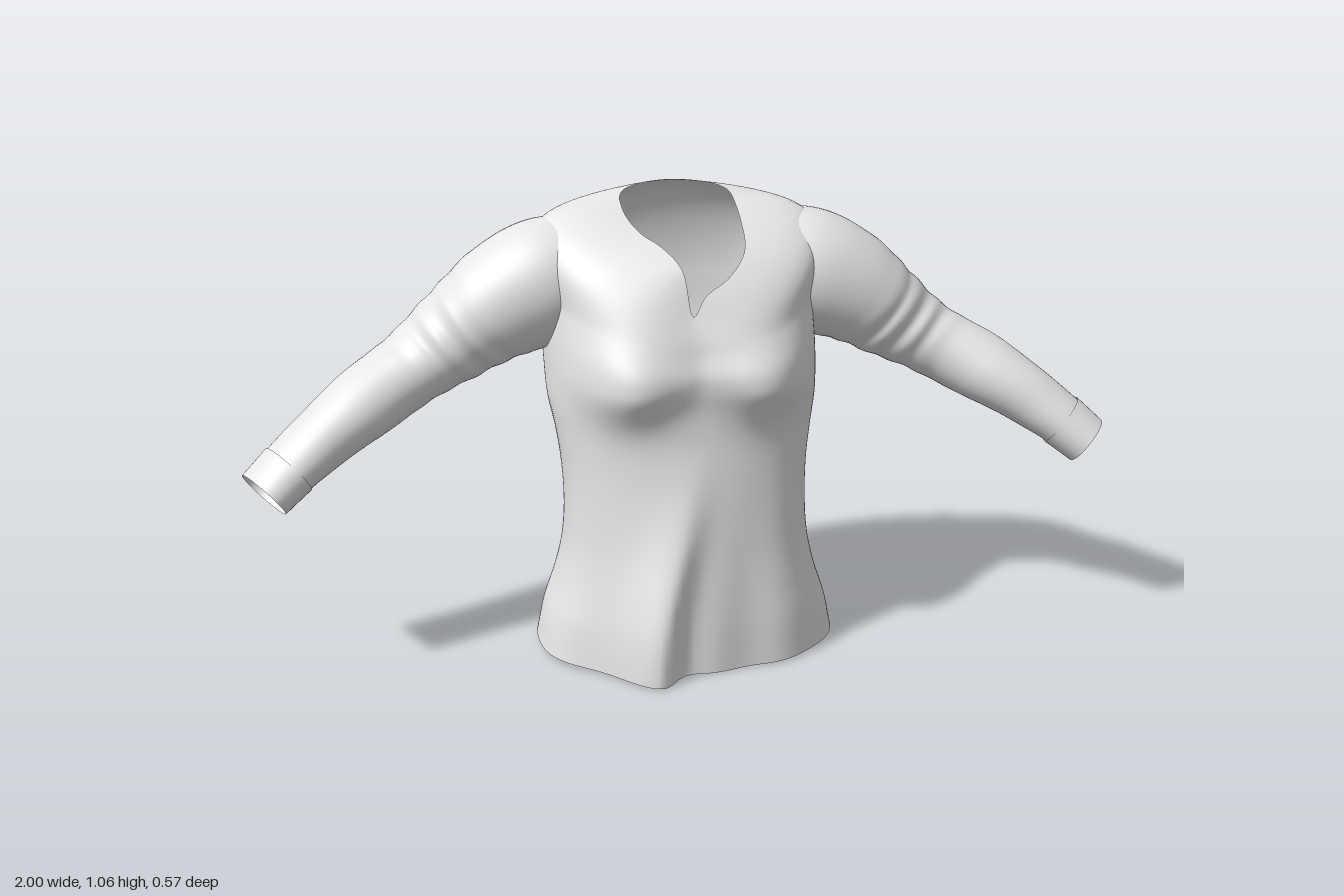
import * as THREE from 'three';

const COLS = 120;
const bump = (d, s) => Math.exp(-(d * d) / (2 * s * s));
const smooth = (v, a, b) => THREE.MathUtils.smoothstep(v, a, b);
const spow = (v, p) => Math.sign(v) * Math.pow(Math.abs(v), p);

// Smooth table lookup: the first column is the parameter, the rest are values
function table(rows) {
  const f = new THREE.CubicInterpolant(rows.map(r => r[0]), rows.flatMap(r => r.slice(1)), rows[0].length - 1);
  return t => Array.from(f.evaluate(t));
}

// Open tube of closed rings; point(i, j) gives each vertex
function loft(name, rows, cols, point, material) {
  const pos = [], index = [];
  for (let i = 0; i < rows; i++) {
    for (let j = 0; j < cols; j++) {
      pos.push(...point(i / (rows - 1), j / cols));
      if (i === rows - 1) continue;
      const a = i * cols + j, b = i * cols + (j + 1) % cols;
      index.push(a, b, b + cols, a, b + cols, a + cols);
    }
  }
  const g = new THREE.BufferGeometry();
  g.setAttribute('position', new THREE.Float32BufferAttribute(pos, 3));
  g.setIndex(index);
  g.computeVertexNormals();
  const mesh = new THREE.Mesh(g, material);
  mesh.name = name;
  return mesh;
}

// Body sections: height, half width, side z, front z, back z
const body = table([
  [0.012, 0.350, -0.01, 0.218, -0.265],
  [0.10, 0.332, -0.01, 0.216, -0.258],
  [0.18, 0.306, -0.01, 0.211, -0.238],
  [0.26, 0.288, -0.01, 0.204, -0.205],
  [0.35, 0.281, -0.01, 0.196, -0.207],
  [0.45, 0.285, -0.02, 0.187, -0.225],
  [0.53, 0.296, -0.03, 0.180, -0.240],
  [0.60, 0.309, -0.05, 0.178, -0.253],
  [0.67, 0.312, -0.07, 0.182, -0.268],
  [0.74, 0.312, -0.09, 0.181, -0.280],
  [0.82, 0.308, -0.10, 0.163, -0.286],
]);

function bodyPoint(h, u) {
  const a = u * Math.PI * 2, s = Math.sin(a), c = Math.cos(a);
  const [w, zs, zf, zb] = body(h);
  const front = Math.max(0, c), rear = Math.max(0, -c);
  const x = w * spow(s, 0.92);
  // the back is flatter and squarer towards the shoulders
  const round = c > 0 ? 0.82 : 0.82 - 0.22 * smooth(h, 0.5, 0.82);
  let z = zs + (c > 0 ? zf - zs : zs - zb) * spow(c, round);
  let y = h - 0.065 * smooth(h, 0.6, 0.82) * front * front;
  // bust: two domes, rounder below
  const dx = Math.abs(x) - 0.165, dy = y - 0.665 - 1.5 * dx * dx;
  z += 0.055 * bump(dx, 0.078) * bump(dy, dy < 0 ? 0.055 : 0.1) * smooth(c, 0, 0.5);
  // large front drape fold and softer folds around the hem
  const fade = 1 - smooth(h, 0.02, 0.55), fx = x + 0.02 + 0.085 * fade;
  z += 0.078 * fade * bump(fx, fx > 0 ? 0.032 : 0.06) * smooth(c, 0.1, 0.5);
  z += 0.006 * fade * Math.sin(x * 34 + 1) * front;
  // broad hollows slanting from the armpits to the back of the waist
  z += 0.018 * rear * bump(Math.abs(x) - 0.1 - (h - 0.22) * 0.6, 0.045) * bump(h - 0.33, 0.09);
  // the hem dips at the front
  const hem = 1 - smooth(h, 0, 0.15);
  y += hem * (0.006 * s * s - 0.012 * front);
  return new THREE.Vector3(x, y, z);
}

// Neckline loop from the slit tip, round the model's left, back and right
const neckline = new THREE.CatmullRomCurve3([
  [-0.01, 0.82, 0.143], [0.02, 0.862, 0.13], [0.075, 0.895, 0.11], [0.122, 0.94, 0.06], [0.135, 0.99, -0.03],
  [0.13, 1.035, -0.10], [0.125, 1.045, -0.125], [0.11, 1.052, -0.15], [0.08, 1.057, -0.173], [0.04, 1.061, -0.188],
  [0, 1.062, -0.195], [-0.04, 1.061, -0.188], [-0.08, 1.057, -0.173], [-0.11, 1.052, -0.15], [-0.125, 1.045, -0.125],
  [-0.13, 1.035, -0.10], [-0.124, 1.008, -0.05], [-0.1, 0.98, 0.005], [-0.062, 0.957, 0.05], [-0.026, 0.915, 0.1],
].map(p => new THREE.Vector3(...p)), true);

// Body up to the chest, then a curved yoke over the shoulders to the neckline
function torsoPoint(v, u) {
  const split = 0.68;
  if (v <= split) return bodyPoint(0.012 + 0.808 * v / split, u);
  const c = Math.cos(u * Math.PI * 2);
  const a = bodyPoint(0.82, u), n = neckline.getPoint(u);
  // leave the chest along its own slope
  const rise = a.clone().sub(bodyPoint(0.81, u)).normalize();
  const start = a.clone().addScaledVector(rise, a.distanceTo(n) * 0.28);
  // reach out over the shoulder before turning in to the neck
  const lift = c > 0 ? 0.97 - 0.35 * c : 0.97 + 0.05 * c;
  const slope = c > 0 ? 0.55 * c : -0.15 * c;
  const over = new THREE.Vector3(a.x * (1.42 - 0.37 * Math.abs(c)), a.y + (n.y - a.y) * lift, a.z + (n.z - a.z) * slope);
  return new THREE.CubicBezierCurve3(a, start, over, n).getPoint((v - split) / (1 - split));
}

// Sleeve sections: parameter, centre x y z, half height, half depth
const sleeve = table([
  [0, 0.22, 0.872, -0.122, 0.134, 0.124],
  [0.13, 0.315, 0.852, -0.112, 0.145, 0.141],
  [0.25, 0.41, 0.810, -0.108, 0.132, 0.136],
  [0.37, 0.50, 0.748, -0.113, 0.109, 0.125],
  [0.50, 0.60, 0.682, -0.098, 0.087, 0.104],
  [0.70, 0.75, 0.600, -0.022, 0.078, 0.088],
  [0.88, 0.88, 0.512, 0.036, 0.062, 0.080],
  [1, 0.957, 0.449, 0.07, 0.055, 0.076],
]);

function sleevePoint(t, u, side, grow) {
  const [x, y, z, rv, ru] = sleeve(t);
  const p0 = sleeve(Math.max(0, t - 0.01)), p1 = sleeve(Math.min(1, t + 0.01));
  const axis = new THREE.Vector3(p1[0] - p0[0], p1[1] - p0[1], p1[2] - p0[2]).normalize();
  const depth = new THREE.Vector3().crossVectors(axis, new THREE.Vector3(0, 1, 0)).normalize();
  const up = new THREE.Vector3().crossVectors(depth, axis);
  const a = side * u * Math.PI * 2;
  // uneven bunched wrinkles around the elbow
  const k = bump(t - 0.42, 0.08) * (0.65 + 0.35 * Math.sin(a * 2 + t * 20));
  const wave = Math.sin(t * 82 + 1.6 * Math.sin(a + side) + side * 0.6);
  const r = 1 + 0.045 * k * wave + 0.012 * Math.sin(t * 28 + 2 * a) * smooth(t, 0.2, 0.4) * (1 - smooth(t, 0.8, 0.9));
  const p = new THREE.Vector3(x, y, z)
    .addScaledVector(depth, Math.cos(a) * (ru * r + grow))
    .addScaledVector(up, -Math.sin(a) * (rv * r + grow));
  p.x *= side;
  return p;
}

export function createModel() {
  const cloth = new THREE.MeshStandardMaterial({ color: 0xe6e6e6, side: THREE.DoubleSide });
  cloth.name = 'light grey cloth';
  const group = new THREE.Group();
  group.name = 'blouse';
  group.add(loft('torso', 110, COLS, torsoPoint, cloth));
  for (const side of [1, -1]) {
    const label = side > 0 ? 'left' : 'right';
    group.add(loft(label + 'Sleeve', 110, 48, (v, u) => sleevePoint(v * 0.93, u, side, 0), cloth));
    group.add(loft(label + 'Cuff', 8, 48, (v, u) => sleevePoint(0.91 + 0.09 * v, u, side, 0.003), cloth));
  }
  return group;
}
